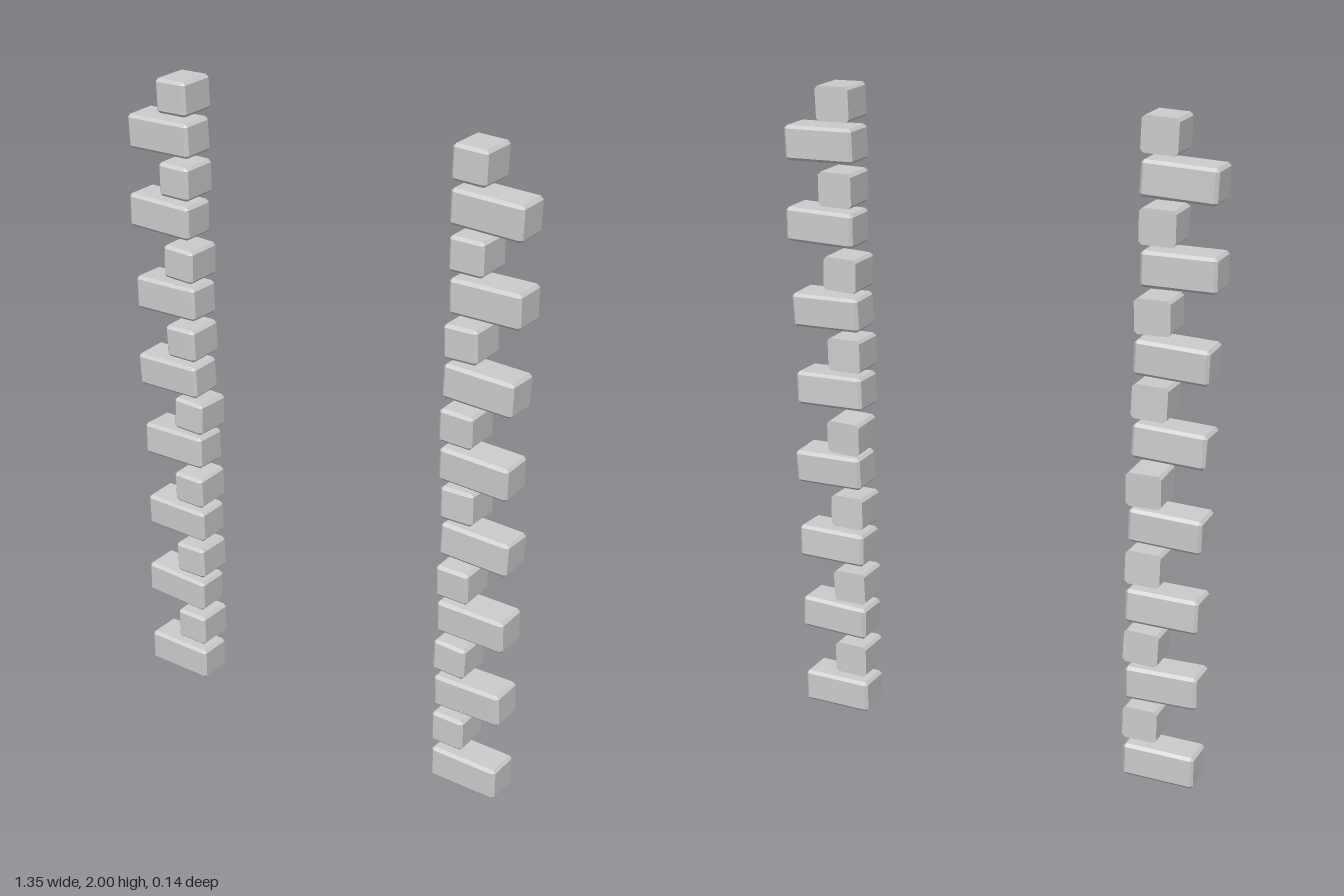
import * as THREE from 'three';
import { ConvexGeometry } from 'three/addons/geometries/ConvexGeometry.js';

const material = new THREE.MeshStandardMaterial({ color: 0xcccccc, flatShading: true });

// Chamfered block; the back face keeps sharp corners when bevelBack is false
function blockGeometry(w, h, d, bevel, bevelBack) {
  const points = [];
  for (const sx of [-1, 1]) for (const sy of [-1, 1]) for (const sz of [-1, 1]) {
    const x = sx * w / 2, y = sy * h / 2, z = sz * d / 2;
    const bx = sx * bevel, by = sy * bevel, bz = (sz < 0 && !bevelBack) ? 0 : sz * bevel;
    points.push(new THREE.Vector3(x, y - by, z - bz), new THREE.Vector3(x - bx, y, z - bz));
    if (bz) points.push(new THREE.Vector3(x - bx, y - by, z));
  }
  return new ConvexGeometry(points);
}

// Stones from bottom to top, long and short in turn: x, y, z, tilt about x, tilt about z
const stones = [
  [0.549, 0.053, 0.002, 0, 0],
  [0.490, 0.182, 0.002, 0, 0],
  [0.550, 0.313, 0.001, 0.01, 0.03],
  [0.487, 0.433, 0.001, 0, -0.03],
  [0.547, 0.563, -0.007, 0.03, 0],
  [0.487, 0.686, -0.002, 0.03, 0],
  [0.550, 0.818, -0.008, -0.03, -0.025],
  [0.487, 0.936, -0.012, -0.03, 0.02],
  [0.548, 1.067, 0.008, 0.03, -0.03],
  [0.489, 1.190, 0.010, 0.02, -0.02],
  [0.549, 1.318, 0.003, -0.02, -0.03],
  [0.492, 1.442, 0.005, 0, 0.03],
  [0.561, 1.576, 0.004, 0, 0.01],
  [0.500, 1.696, 0.003, 0, 0],
  [0.555, 1.823, 0.002, 0.01, -0.03],
  [0.500, 1.947, 0.002, 0, -0.03],
];

export function createModel() {
  const model = new THREE.Group();
  const long = blockGeometry(0.223, 0.103, 0.11, 0.009, true);
  const short = blockGeometry(0.108, 0.102, 0.114, 0.009, false);

  // Two mirrored columns of corner stones
  for (const side of [1, -1]) {
    const column = new THREE.Group();
    column.name = side > 0 ? 'leftQuoinColumn' : 'rightQuoinColumn';
    stones.forEach(([x, y, z, rx, rz], i) => {
      const stone = new THREE.Mesh(i % 2 ? short : long, material);
      stone.name = i % 2 ? 'shortStone' : 'longStone';
      stone.position.set(side * x, y, z);
      stone.rotation.set(rx, 0, side * rz);
      column.add(stone);
    });
    model.add(column);
  }
  return model;
}
